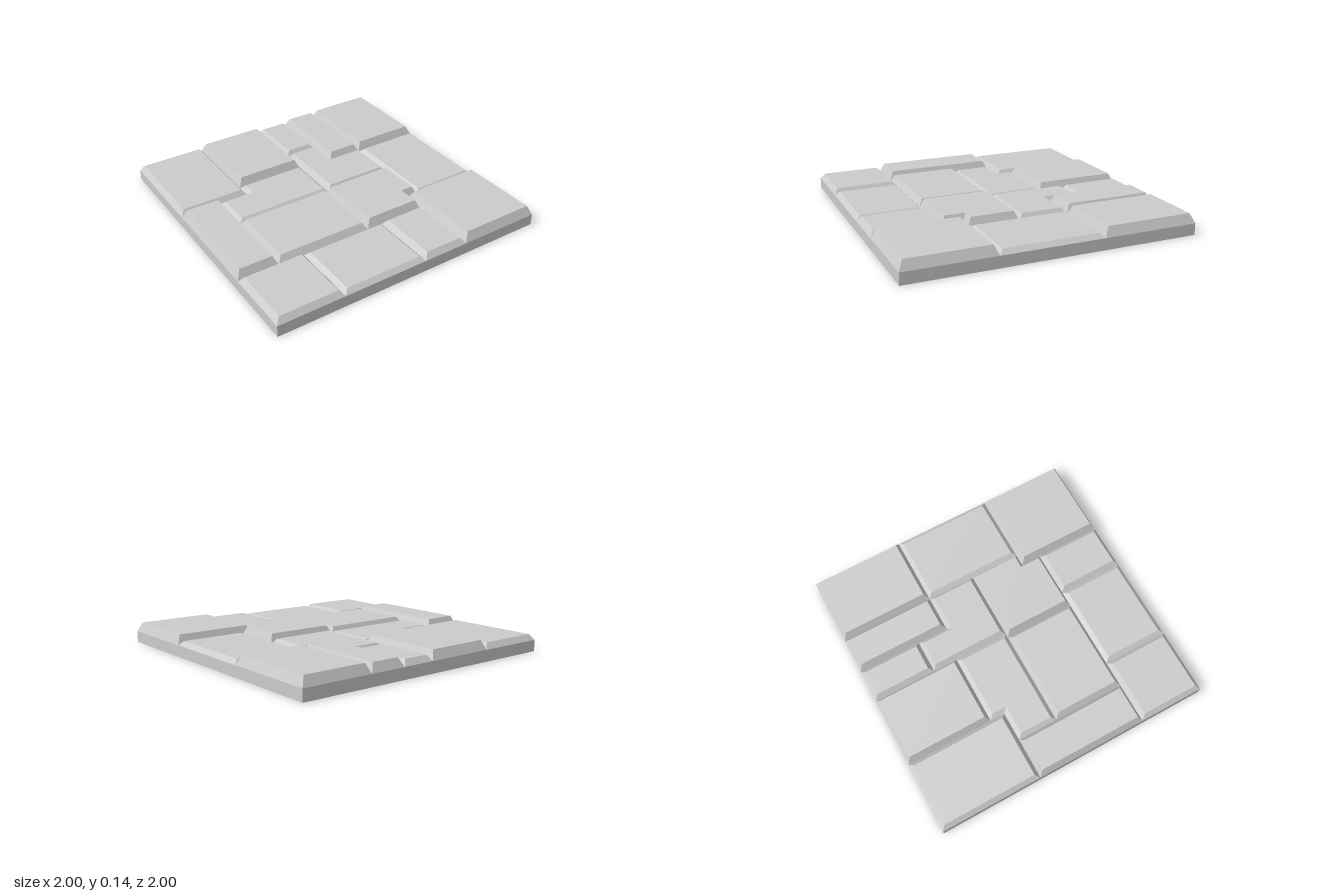
import * as THREE from 'three';

const BASE = 0.08;   // slab thickness, also the bottom of the grooves
const INSET = 0.03;  // bevel width around each stone

// Rectangular outline, clockwise from above
const rect = (x0, x1, z0, z1) => [[x0, z0], [x1, z0], [x1, z1], [x0, z1]];

// Stone outlines [x, z] with their top heights
const STONES = [
  ['backLeftEdgeStone', 0.12, rect(-1, -0.5, -1, -0.27)],
  ['backStone', 0.145, rect(-0.5, 0, -1, -0.375)],
  ['backSmallStone', 0.12, rect(0, 0.24, -1, -0.55)],
  ['backNarrowStone', 0.14, rect(0.24, 0.5, -1, -0.33)],
  ['backCornerStone', 0.145, rect(0.5, 1, -1, -0.33)],
  ['sideLongStone', 0.145, rect(-1, -0.71, -0.27, 0.53)],
  ['middleSteppedStone', 0.11,
    [[-0.71, -0.27], [-0.5, -0.27], [-0.5, -0.375], [0, -0.375], [0, 0.02], [-0.71, 0.02]]],
  ['middleNotchedStone', 0.12,
    [[0, -0.55], [0.24, -0.55], [0.24, -0.33], [0.5, -0.33], [0.5, 0.02], [0, 0.02]]],
  ['middleWideStone', 0.13, rect(-0.71, -0.03, 0.02, 0.53)],
  ['middleCutStone', 0.145,
    [[-0.03, 0.02], [0.5, 0.02], [0.5, 0.385], [0.41, 0.385], [0.41, 0.53], [-0.03, 0.53]]],
  ['sideTallStone', 0.11, rect(0.5, 1, -0.33, 0.385)],
  ['frontEdgeStone', 0.12, rect(-1, -0.53, 0.53, 1)],
  ['frontWideStone', 0.11, rect(-0.53, 0.08, 0.53, 1)],
  ['frontSmallStone', 0.12, rect(0.08, 0.41, 0.53, 1)],
  ['frontCornerStone', 0.145, rect(0.41, 1, 0.385, 1)],
];

// Bevelled block: sloped sides rising from the outline to an inset flat top
function stoneGeometry(outline, top) {
  const n = outline.length;
  const inward = (i) => {
    const a = outline[i % n], b = outline[(i + 1) % n];
    return [-Math.sign(b[1] - a[1]), Math.sign(b[0] - a[0])];
  };
  const inner = outline.map(([x, z], i) => {
    const p = inward(i + n - 1), q = inward(i);
    return [x + INSET * (p[0] + q[0]), z + INSET * (p[1] + q[1])];
  });
  const low = outline.map(([x, z]) => new THREE.Vector3(x, BASE, z));
  const high = inner.map(([x, z]) => new THREE.Vector3(x, top, z));
  const points = [];

  // Sloped sides
  for (let i = 0; i < n; i++) {
    const j = (i + 1) % n;
    points.push(low[i], high[i], high[j], low[i], high[j], low[j]);
  }
  // Flat top, always facing up
  const flat = inner.map(([x, z]) => new THREE.Vector2(x, z));
  for (const [a, b, c] of THREE.ShapeUtils.triangulateShape(flat, [])) {
    const up = THREE.ShapeUtils.area([flat[a], flat[b], flat[c]]) < 0;
    points.push(high[a], up ? high[b] : high[c], up ? high[c] : high[b]);
  }
  const geometry = new THREE.BufferGeometry().setFromPoints(points);
  geometry.computeVertexNormals();
  return geometry;
}

export function createModel() {
  const model = new THREE.Group();
  model.name = 'stoneFloorTile';
  const material = new THREE.MeshStandardMaterial({ color: 0xcccccc, flatShading: true });

  // Slab under the stones
  const slab = new THREE.Mesh(new THREE.BoxGeometry(2, BASE, 2), material);
  slab.name = 'baseSlab';
  slab.position.y = BASE / 2;
  model.add(slab);

  // Paving stones
  for (const [name, top, outline] of STONES) {
    const stone = new THREE.Mesh(stoneGeometry(outline, top), material);
    stone.name = name;
    model.add(stone);
  }
  return model;
}
